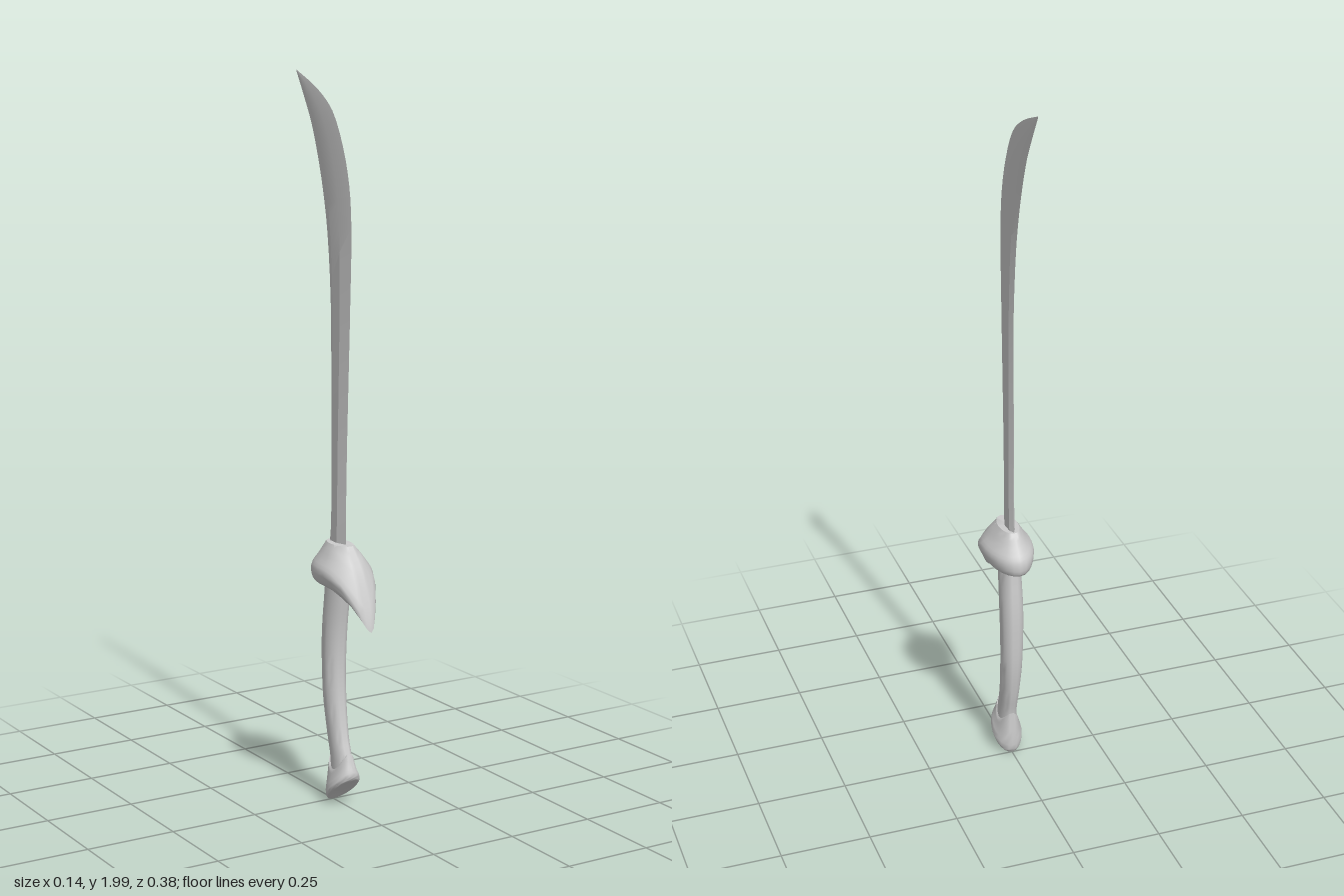
import * as THREE from 'three';
import { toCreasedNormals } from 'three/addons/utils/BufferGeometryUtils.js';

const V = (x, y, z) => new THREE.Vector3(x, y, z);
const SIDES = 24;

// Ring of points, counter-clockwise from above; f(cos, sin) gives each point
function ring(f, n = SIDES) {
  return Array.from({ length: n }, (_, j) => {
    const a = (j / n) * Math.PI * 2;
    return f(Math.cos(a), Math.sin(a));
  });
}

// Smoothly fills in extra rings between the given ones
function refine(rings, steps) {
  const columns = rings[0].map((_, j) =>
    new THREE.CatmullRomCurve3(rings.map(r => r[j]), false, 'centripetal'));
  const total = (rings.length - 1) * steps;
  return Array.from({ length: total + 1 }, (_, i) => columns.map(c => c.getPoint(i / total)));
}

// Skin over rings listed from bottom to top, closed at both ends
function loft(rings, crease) {
  const n = rings[0].length, last = rings.length - 1;
  const pos = [], idx = [];
  rings.forEach(r => r.forEach(p => pos.push(p.x, p.y, p.z)));
  for (let i = 0; i < last; i++) {
    for (let j = 0; j < n; j++) {
      const a = i * n + j, b = i * n + (j + 1) % n;
      idx.push(a, b, b + n, a, b + n, a + n);
    }
  }
  [0, last].forEach((i, end) => {
    const c = rings[i].reduce((s, p) => s.add(p), V(0, 0, 0)).divideScalar(n);
    const k = pos.length / 3;
    pos.push(c.x, c.y, c.z);
    for (let j = 0; j < n; j++) {
      const a = i * n + j, b = i * n + (j + 1) % n;
      idx.push(k, end ? a : b, end ? b : a);
    }
  });
  const g = new THREE.BufferGeometry();
  g.setAttribute('position', new THREE.Float32BufferAttribute(pos, 3));
  g.setIndex(idx);
  return toCreasedNormals(g, crease);
}

// Blade: stations pair a cutting-edge point with a spine point
function bladeGeometry() {
  // [edge z, edge y, spine z, spine y, half thickness]
  const stations = [
    [0.065, 0.70, -0.025, 0.70, 0.010],
    [0.065, 0.78, -0.012, 0.78, 0.010],
    [0.070, 1.00, -0.010, 1.00, 0.0095],
    [0.078, 1.20, -0.010, 1.20, 0.009],
    [0.086, 1.40, -0.013, 1.40, 0.0085],
    [0.091, 1.60, -0.030, 1.58, 0.008],
    [0.080, 1.71, -0.050, 1.68, 0.007],
    [0.048, 1.81, -0.076, 1.77, 0.006],
    [-0.005, 1.90, -0.110, 1.86, 0.005],
    [-0.080, 1.953, -0.146, 1.925, 0.003],
    [-0.189, 2.00, -0.190, 1.998, 0.0003],
  ];
  const section = [[0, 0], [0.4, 1], [0.8, 0.8], [1, 0], [0.8, -0.8], [0.4, -1]];
  const rings = stations.map(([ez, ey, sz, sy, t]) => section.map(([u, w]) =>
    V(w * t, THREE.MathUtils.lerp(ey, sy, u), THREE.MathUtils.lerp(ez, sz, u))));
  return loft(refine(rings, 3), 0.2);
}

// Guard: flared collar that sweeps forward into a drooping beak
function guardGeometry() {
  const pos = c => Math.max(0, c);
  const neck = ring((c, s) => V(0.028 * s, 0.745, 0.035 + 0.055 * c));
  const brim = ring((c, s) => {
    const z = 0.062 + 0.133 * c;
    const droop = pos((z - 0.06) / 0.135) ** 2;
    return V(0.072 * s * (1 - 0.5 * pos(c) ** 2), 0.675 - 0.145 * droop, z);
  });
  const shoulder = neck.map((p, j) => {
    const m = p.clone().lerp(brim[j], 0.5);
    m.y += 0.035 * pos(Math.cos((j / SIDES) * Math.PI * 2));
    return m;
  });
  const under = ring((c, s) =>
    V(0.058 * s * (1 - 0.5 * pos(c) ** 2), 0.635 - 0.08 * pos(c) ** 2, 0.054 + 0.121 * c));
  const socket = ring((c, s) => V(0.036 * s, 0.64 - 0.012 * pos(c), 0.03 + 0.055 * c));
  return loft(refine([socket, under, brim, shoulder, neck], 4), 0.9);
}

// Grip: oval sections following a gentle backward bow
function gripGeometry() {
  // [y, front z, back z, half width]
  const sections = [
    [0.08, 0.085, 0.008, 0.026],
    [0.14, 0.082, 0.002, 0.025],
    [0.20, 0.063, -0.012, 0.026],
    [0.30, 0.045, -0.028, 0.030],
    [0.40, 0.040, -0.033, 0.032],
    [0.50, 0.047, -0.032, 0.033],
    [0.60, 0.064, -0.023, 0.031],
    [0.67, 0.075, -0.018, 0.029],
  ];
  const rings = sections.map(([y, f, b, w]) =>
    ring((c, s) => V(w * s, y, (f + b) / 2 + ((f - b) / 2) * c)));
  return loft(refine(rings, 3), 1);
}

// Pommel: scalloped sleeve flaring to a slanted oval end
function pommelGeometry() {
  const oval = (w, fz, fy, bz, by, dip = 0) => ring((c, s) =>
    V(w * s, (fy + by) / 2 + ((fy - by) / 2) * c - dip * s * s, (fz + bz) / 2 + ((fz - bz) / 2) * c));
  const rings = [
    oval(0.026, 0.085, 0.080, 0.012, 0.022),
    oval(0.038, 0.101, 0.092, 0.000, 0.009),
    oval(0.043, 0.105, 0.105, -0.006, 0.020),
    oval(0.036, 0.096, 0.132, -0.006, 0.080, 0.022),
    oval(0.029, 0.087, 0.163, -0.003, 0.142, 0.045),
  ];
  return loft(refine(rings, 3), 0.8);
}

export function createModel() {
  const group = new THREE.Group();
  group.name = 'curvedSword';
  const material = new THREE.MeshStandardMaterial({ color: 0xcccccc });
  const parts = {
    blade: bladeGeometry(),
    guard: guardGeometry(),
    grip: gripGeometry(),
    pommel: pommelGeometry(),
  };
  for (const [name, geometry] of Object.entries(parts)) {
    const mesh = new THREE.Mesh(geometry, material);
    mesh.name = name;
    group.add(mesh);
  }
  return group;
}
